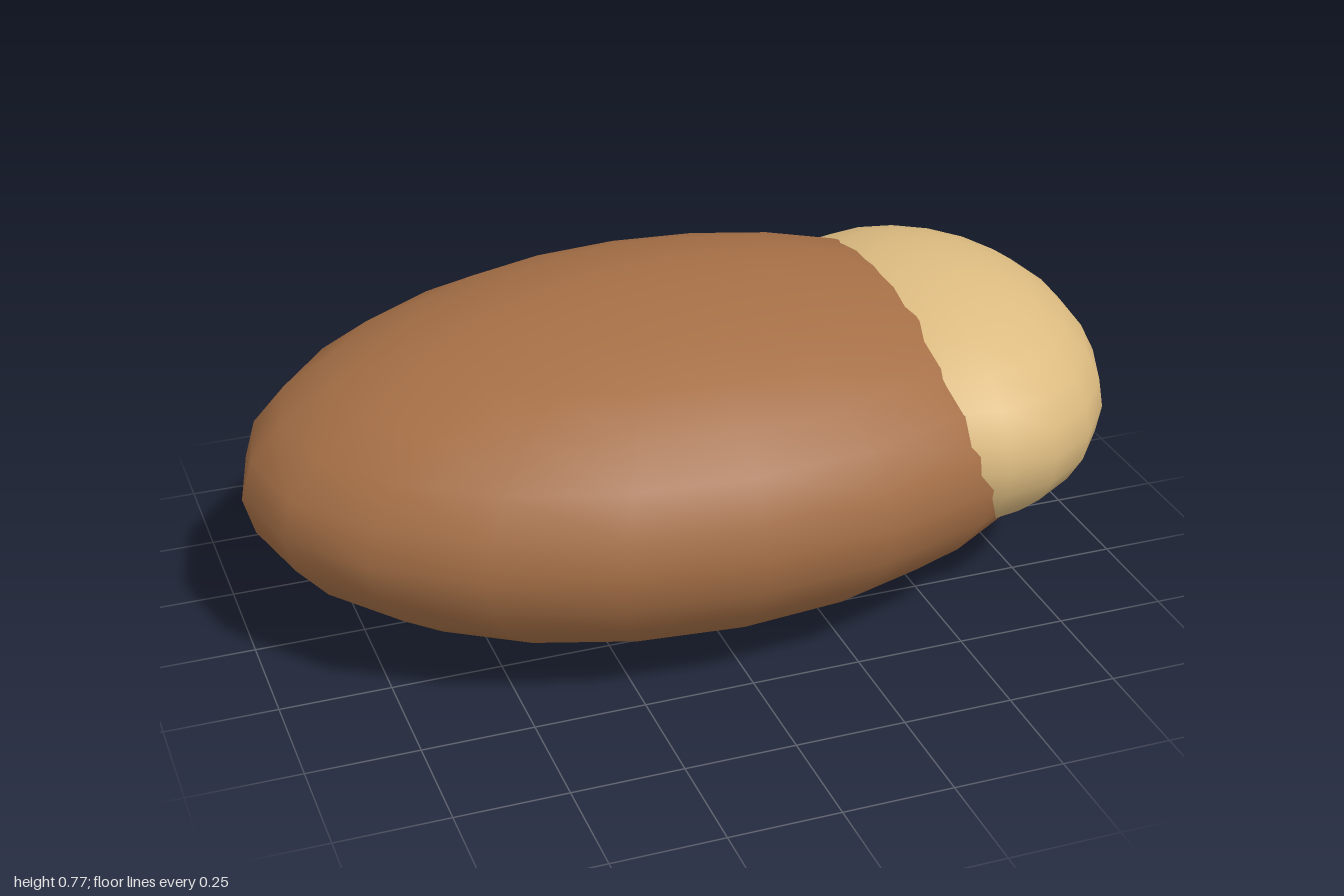
import * as THREE from 'three';

// Smooth ellipsoid with its poles on the y axis
function ellipsoid(name, material, radii, position) {
  const geometry = new THREE.SphereGeometry(1, 20, 14);
  geometry.scale(...radii); // scales the normals correctly too
  const mesh = new THREE.Mesh(geometry, material);
  mesh.name = name;
  mesh.position.set(...position);
  return mesh;
}

export function createModel() {
  const brown = new THREE.MeshStandardMaterial({ color: 0xa56f46 });
  brown.name = 'brown';
  const tan = new THREE.MeshStandardMaterial({ color: 0xdcbb80 });
  tan.name = 'tan';

  const model = new THREE.Group();
  model.name = 'cappedNut';

  // Long flattened body, with a paler cap sunk into its left end
  model.add(ellipsoid('body', brown, [0.98, 0.385, 0.63], [-0.02, 0.387, 0]));
  model.add(ellipsoid('cap', tan, [0.42, 0.296, 0.525], [0.58, 0.43, 0]));
  return model;
}
